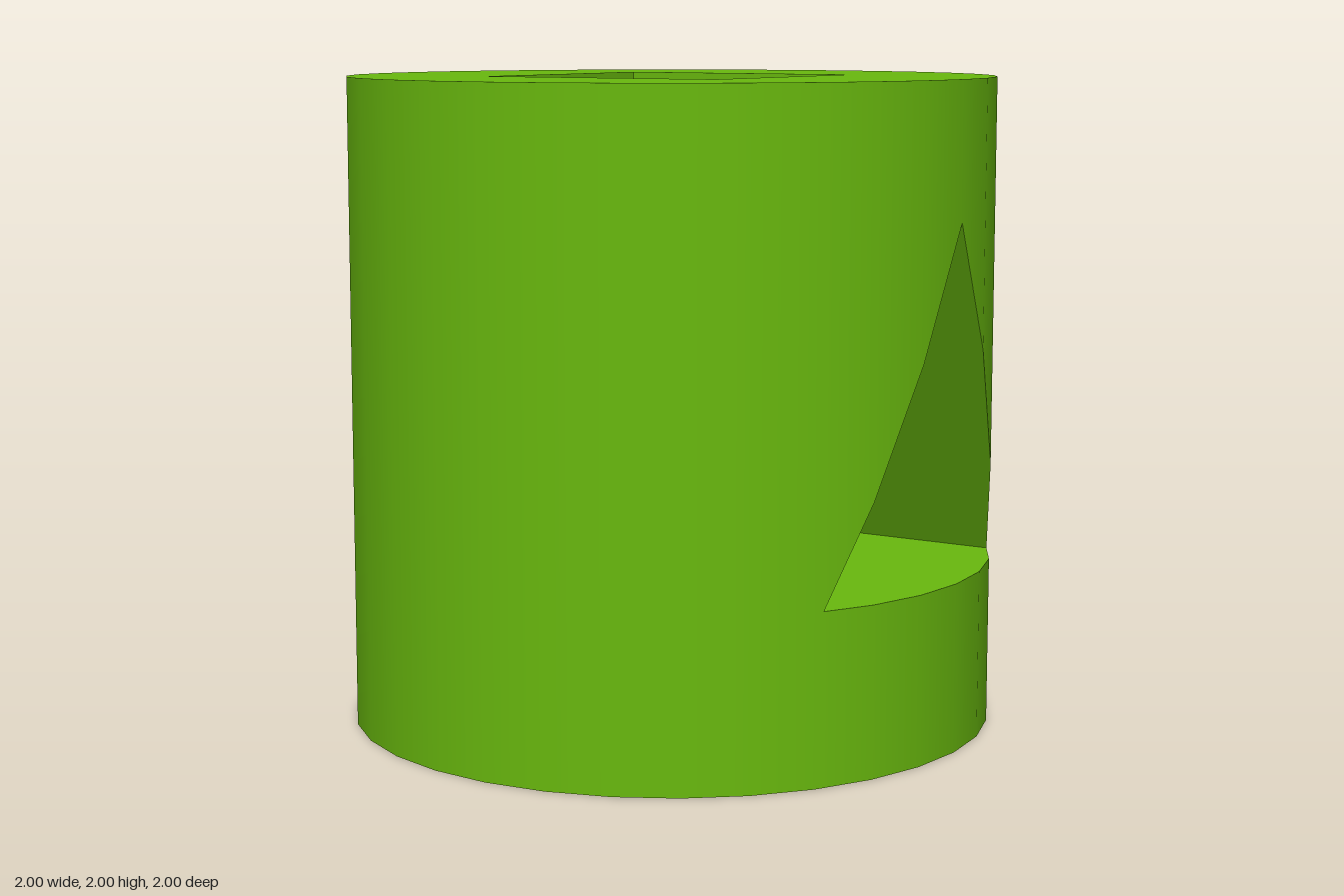
import * as THREE from 'three';

const R = 1, HEIGHT = 2, SIDES = 32;
const SHAFT = 0.405;                            // half width of the square shaft
const FLOOR = 0.515, APEX = 1.585, HALF = 0.53; // triangular tunnel along x

// height of the tunnel's sloping side, and the outer wall's x, at a given z >= 0
const roof = z => APEX - (APEX - FLOOR) * z / HALF;
const step = 2 * Math.PI / SIDES;
function outerX(z) {
  const k = Math.min(Math.floor(Math.asin(Math.min(z, 1)) / step + 1e-6), SIDES / 4 - 1);
  const z0 = Math.sin(k * step), z1 = Math.sin((k + 1) * step);
  return R * THREE.MathUtils.lerp(Math.cos(k * step), Math.cos((k + 1) * step), (z - z0) / (z1 - z0));
}

// Collects quads given for one quarter and mirrors them into all four
class Quarters {
  pos = [];
  nor = [];
  quad(corners, normals) {
    for (const sx of [1, -1]) for (const sz of [1, -1]) {
      const flip = v => new THREE.Vector3(v[0] * sx, v[1], v[2] * sz);
      const p = corners.map(flip);
      const n = (normals.length === 4 ? normals : Array(4).fill(normals[0])).map(v => flip(v).normalize());
      for (const tri of [[0, 1, 2], [0, 2, 3]]) {
        const [a, b, c] = tri.map(i => p[i]);
        const face = b.clone().sub(a).cross(c.clone().sub(a));
        if (face.length() < 1e-9) continue;
        const order = face.dot(n[0]) < 0 ? [tri[0], tri[2], tri[1]] : tri;
        for (const i of order) {
          this.pos.push(...p[i].toArray());
          this.nor.push(...n[i].toArray());
        }
      }
    }
  }
  geometry() {
    const g = new THREE.BufferGeometry();
    g.setAttribute('position', new THREE.Float32BufferAttribute(this.pos, 3));
    g.setAttribute('normal', new THREE.Float32BufferAttribute(this.nor, 3));
    return g;
  }
}

export function createModel() {
  const group = new THREE.Group();
  const material = new THREE.MeshStandardMaterial({ color: 0x69b90e });
  const add = (name, geometry) => {
    const mesh = new THREE.Mesh(geometry, material);
    mesh.name = name;
    group.add(mesh);
    return mesh;
  };

  // ring-shaped ends with the square opening
  const disc = new THREE.Shape(Array.from({ length: SIDES }, (_, i) =>
    new THREE.Vector2(R * Math.cos(i * step), R * Math.sin(i * step))));
  disc.holes.push(new THREE.Path([[-1, -1], [-1, 1], [1, 1], [1, -1]].map(
    ([x, y]) => new THREE.Vector2(x * SHAFT, y * SHAFT))));
  add('topCap', new THREE.ShapeGeometry(disc).rotateX(-Math.PI / 2).translate(0, HEIGHT, 0));
  add('bottomCap', new THREE.ShapeGeometry(disc).rotateX(Math.PI / 2));

  // z positions of every facet edge and cut
  const zs = [SHAFT, HALF];
  for (let k = 0; k <= SIDES / 4; k++) zs.push(Math.sin(k * step));
  zs.sort((a, b) => a - b);

  const wall = new Quarters(), floor = new Quarters(), slopes = new Quarters(), shaft = new Quarters();
  for (let i = 0; i < zs.length - 1; i++) {
    const a = zs[i], b = zs[i + 1], xa = outerX(a), xb = outerX(b);
    const na = [xa, 0, a], nb = [xb, 0, b];
    const strip = (lowA, lowB, topA, topB) => wall.quad(
      [[xa, lowA, a], [xb, lowB, b], [xb, topB, b], [xa, topA, a]], [na, nb, nb, na]);

    if (a >= HALF - 1e-6) {
      strip(0, 0, HEIGHT, HEIGHT);
      continue;
    }
    // outer wall below and above the tunnel mouth
    strip(0, 0, FLOOR, FLOOR);
    strip(roof(a), roof(b), HEIGHT, HEIGHT);

    // tunnel surfaces reach in to the shaft, or right through beside it
    const inner = a < SHAFT - 1e-6 ? SHAFT : 0;
    floor.quad([[inner, FLOOR, a], [xa, FLOOR, a], [xb, FLOOR, b], [inner, FLOOR, b]], [[0, 1, 0]]);
    slopes.quad([[inner, roof(a), a], [xa, roof(a), a], [xb, roof(b), b], [inner, roof(b), b]],
      [[0, -HALF, -(APEX - FLOOR)]]);
  }

  // shaft walls below and above the tunnel
  const S = SHAFT;
  for (const [y0, y1, mid] of [[0, FLOOR, FLOOR], [roof(S), HEIGHT, HEIGHT]]) {
    const start = y0 === 0 ? 0 : APEX;
    shaft.quad([[S, start, 0], [S, y0, S], [S, y1, S], [S, mid, 0]], [[-1, 0, 0]]);
    shaft.quad([[0, y0, S], [S, y0, S], [S, y1, S], [0, y1, S]], [[0, 0, -1]]);
  }

  add('outerWall', wall.geometry());
  add('tunnelFloor', floor.geometry());
  add('tunnelSlopes', slopes.geometry());
  add('shaftWalls', shaft.geometry());
  return group;
}
